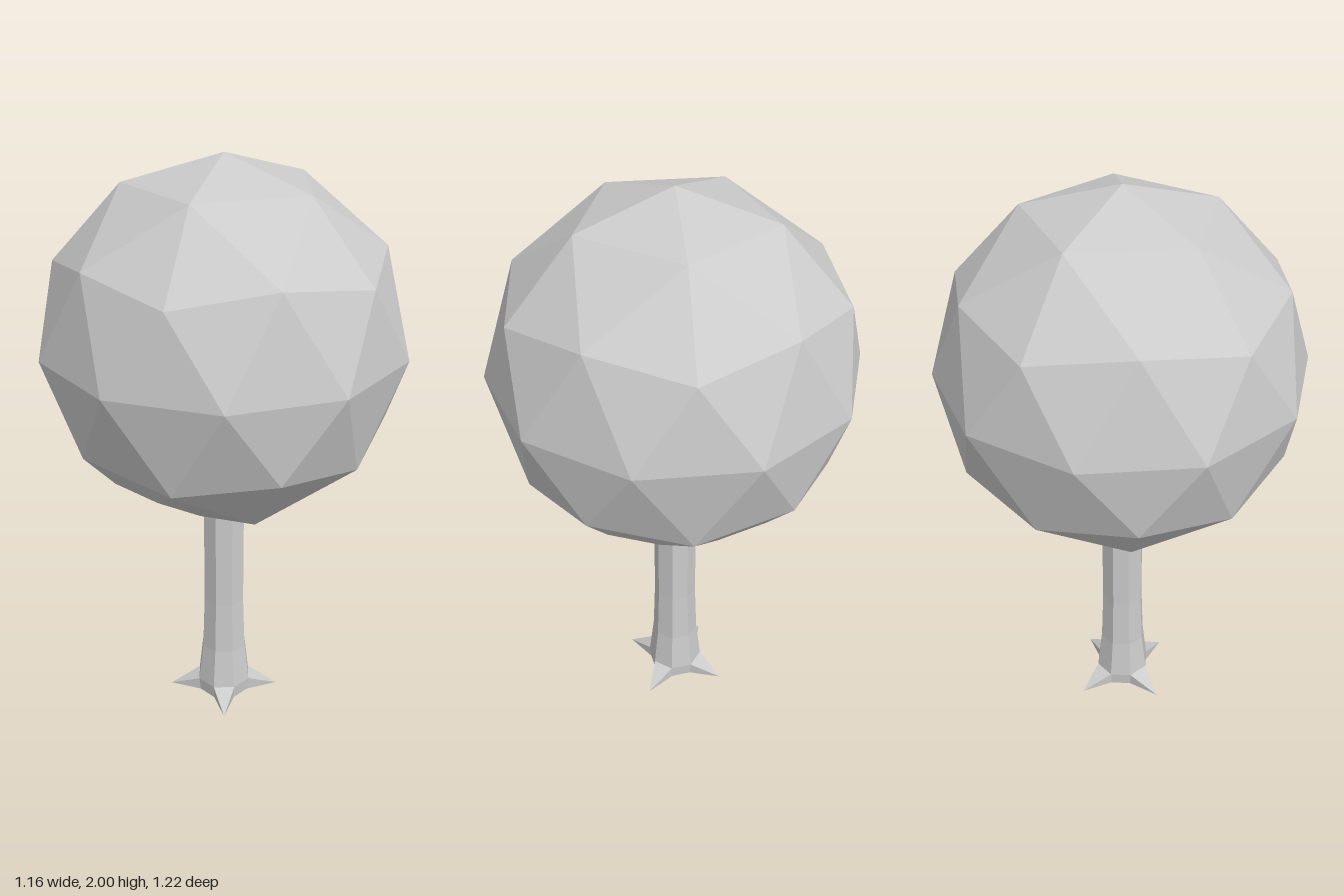
import * as THREE from 'three';
import { ConvexGeometry } from 'three/addons/geometries/ConvexGeometry.js';

const material = new THREE.MeshStandardMaterial({ color: 0xcccccc, flatShading: true });
const V = (x, y, z) => new THREE.Vector3(x, y, z);

function addPart(group, name, geometry) {
  const mesh = new THREE.Mesh(geometry, material);
  mesh.name = name;
  group.add(mesh);
}

// Faceted ball, with hollows pressed in where the branches enter from below
function crownGeometry() {
  const ball = new THREE.IcosahedronGeometry(1, 1).rotateZ(Math.atan(0.618034));
  const p = ball.attributes.position;
  const hollows = [0, -72, 144].map((deg) => {
    const a = THREE.MathUtils.degToRad(deg);
    return V(0.5257 * Math.cos(a), -0.8507, 0.5257 * Math.sin(a));
  });
  const press = (v) => {
    if (hollows.some((h) => h.distanceTo(v) < 0.05)) return v.clone().multiplyScalar(0.8);
    if (v.y < -0.99) return v.clone().multiplyScalar(0.96);
    return v;
  };
  const points = [];
  for (let i = 0; i < p.count; i += 3) {
    const [a, b, c] = [0, 1, 2].map((k) => V().fromBufferAttribute(p, i + k));
    const mid = (s, t) => s.clone().lerp(t, 0.5);
    const ab = mid(a, b), bc = mid(b, c), ca = mid(c, a);
    points.push(press(a), ab, ca, ab, press(b), bc, ca, bc, press(c), ab, bc, ca);
  }
  const geometry = new THREE.BufferGeometry().setFromPoints(points);
  geometry.scale(0.61, 0.61, 0.61).translate(0, 1.39, 0);
  geometry.computeVertexNormals();
  return geometry;
}

// Spike growing out of one flat side of the eight-sided trunk
function spike(angle, y0, r0, y1, r1, tip) {
  const at = (r, a, y) => V(r * Math.cos(a), y, r * Math.sin(a));
  const half = Math.PI / 8;
  return new ConvexGeometry([
    at(r0, angle - half, y0), at(r0, angle + half, y0),
    at(r1, angle - half, y1), at(r1, angle + half, y1), tip,
  ]);
}

export function createModel() {
  const tree = new THREE.Group();
  tree.name = 'tree';

  addPart(tree, 'crown', crownGeometry());

  // Trunk, flared at both ends
  const profile = [[0, 0], [0.095, 0], [0.1, 0.05], [0.083, 0.2], [0.076, 0.4],
    [0.076, 0.76], [0.095, 0.81], [0, 0.81]].map(([r, y]) => new THREE.Vector2(r, y));
  addPart(tree, 'trunk', new THREE.LatheGeometry(profile, 8, Math.PI / 8));

  // Four pointed roots
  for (let i = 0; i < 4; i++) {
    const a = (i * Math.PI) / 2;
    const tip = V(0.2 * Math.cos(a), 0.002, 0.2 * Math.sin(a));
    addPart(tree, 'root', spike(a, 0, 0.095, 0.05, 0.1, tip));
  }

  // Three branches reaching into the hollows
  const branches = [
    [0, V(0.32, 0.92, 0)],
    [-Math.PI / 2, V(0.05, 0.93, -0.24)],
    [0.75 * Math.PI, V(-0.09, 0.91, 0.09)],
  ];
  for (const [a, tip] of branches) {
    addPart(tree, 'branch', spike(a, 0.76, 0.076, 0.81, 0.095, tip));
  }
  return tree;
}
